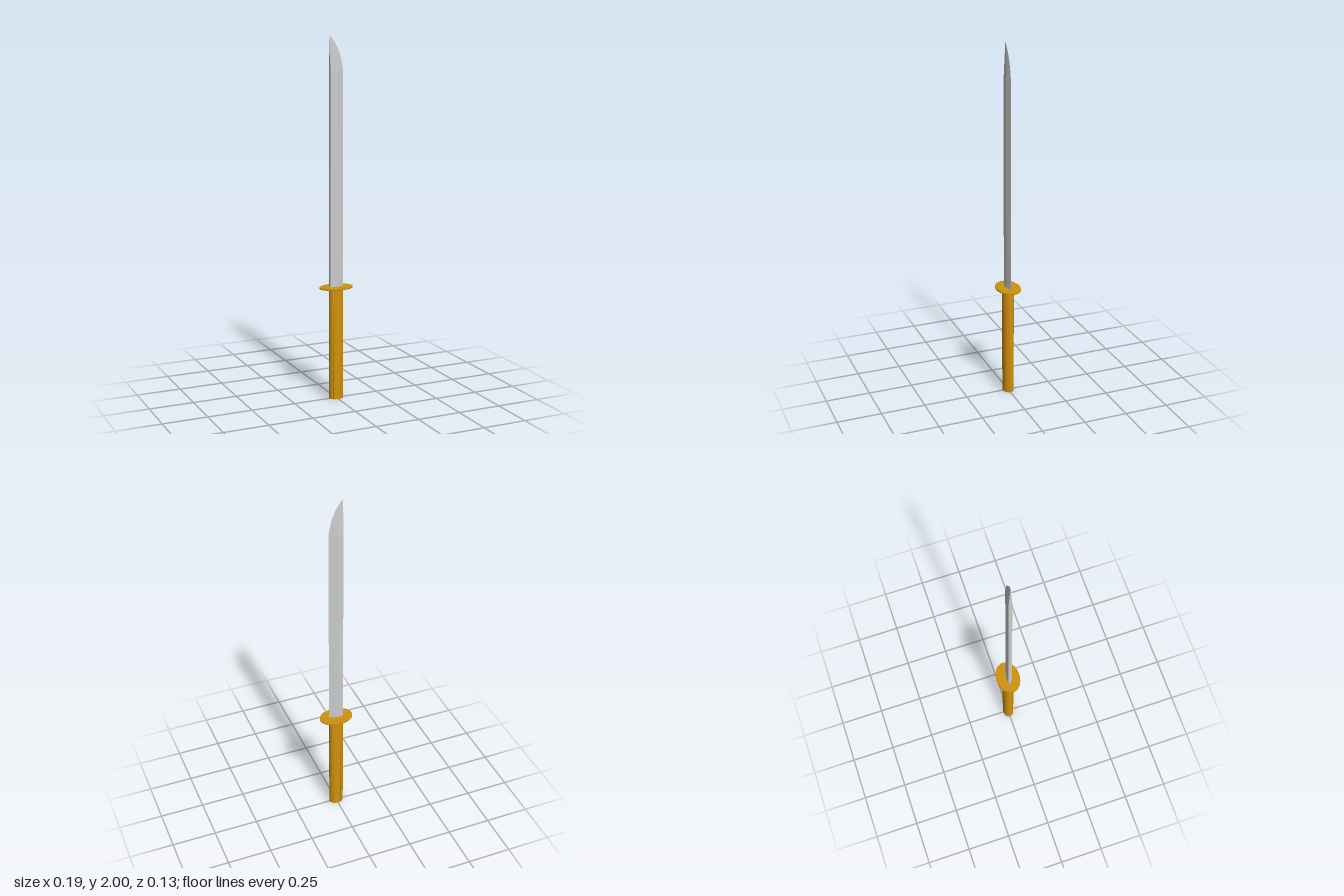
import * as THREE from 'three';
import { mergeVertices } from 'three/addons/utils/BufferGeometryUtils.js';

// Upright elliptical prism with normals smoothed over its rims
function ellipticPrism(name, rx, rz, y0, y1, material) {
  const shape = new THREE.Shape().absellipse(0, 0, rx, rz, 0, Math.PI * 2);
  let geo = new THREE.ExtrudeGeometry(shape, { depth: y1 - y0, bevelEnabled: false, curveSegments: 48 });
  geo.rotateX(-Math.PI / 2).translate(0, y0, 0);
  geo.deleteAttribute('normal');
  geo.deleteAttribute('uv');
  geo = mergeVertices(geo, 1e-5);
  geo.computeVertexNormals();
  const mesh = new THREE.Mesh(geo, material);
  mesh.name = name;
  return mesh;
}

// Single-edged blade: five-cornered sections that shrink along the curved tip
function bladeGeometry() {
  const spine = -0.037, edge = 0.042, half = 0.01, base = 0.63, shoulder = 1.8;
  const tip = new THREE.QuadraticBezierCurve(
    new THREE.Vector2(edge, shoulder), new THREE.Vector2(0.03, 1.93), new THREE.Vector2(spine, 2));
  const rows = [new THREE.Vector2(edge, base), ...tip.getPoints(16)];
  const positions = [], index = [];
  for (const p of rows) {
    const width = (p.x - spine) / (edge - spine);
    const h = half * Math.min(1, (2 - p.y) / (2 - shoulder));
    const ridge = spine - spine * width;
    for (const [x, z] of [[spine, h], [ridge, h], [p.x, 0], [ridge, -h], [spine, -h]]) {
      positions.push(x, p.y, z);
    }
  }
  for (let r = 0; r < rows.length - 1; r++) {
    for (let i = 0; i < 5; i++) {
      const a = r * 5 + i, b = r * 5 + (i + 1) % 5;
      index.push(a, b, b + 5, a, b + 5, a + 5);
    }
  }
  index.push(0, 2, 1, 0, 3, 2, 0, 4, 3); // closed base
  const geo = new THREE.BufferGeometry();
  geo.setAttribute('position', new THREE.Float32BufferAttribute(positions, 3));
  geo.setIndex(index);
  const flat = geo.toNonIndexed();
  flat.computeVertexNormals();
  return flat;
}

export function createModel() {
  const group = new THREE.Group();
  group.name = 'sword';
  const steel = new THREE.MeshStandardMaterial({ color: 0xcccccc });
  const gold = new THREE.MeshStandardMaterial({ color: 0xd0920e });

  const blade = new THREE.Mesh(bladeGeometry(), steel);
  blade.name = 'blade';
  group.add(
    blade,
    ellipticPrism('guard', 0.094, 0.067, 0.629, 0.637, gold),
    ellipticPrism('handle', 0.041, 0.031, 0, 0.63, gold)
  );
  return group;
}
